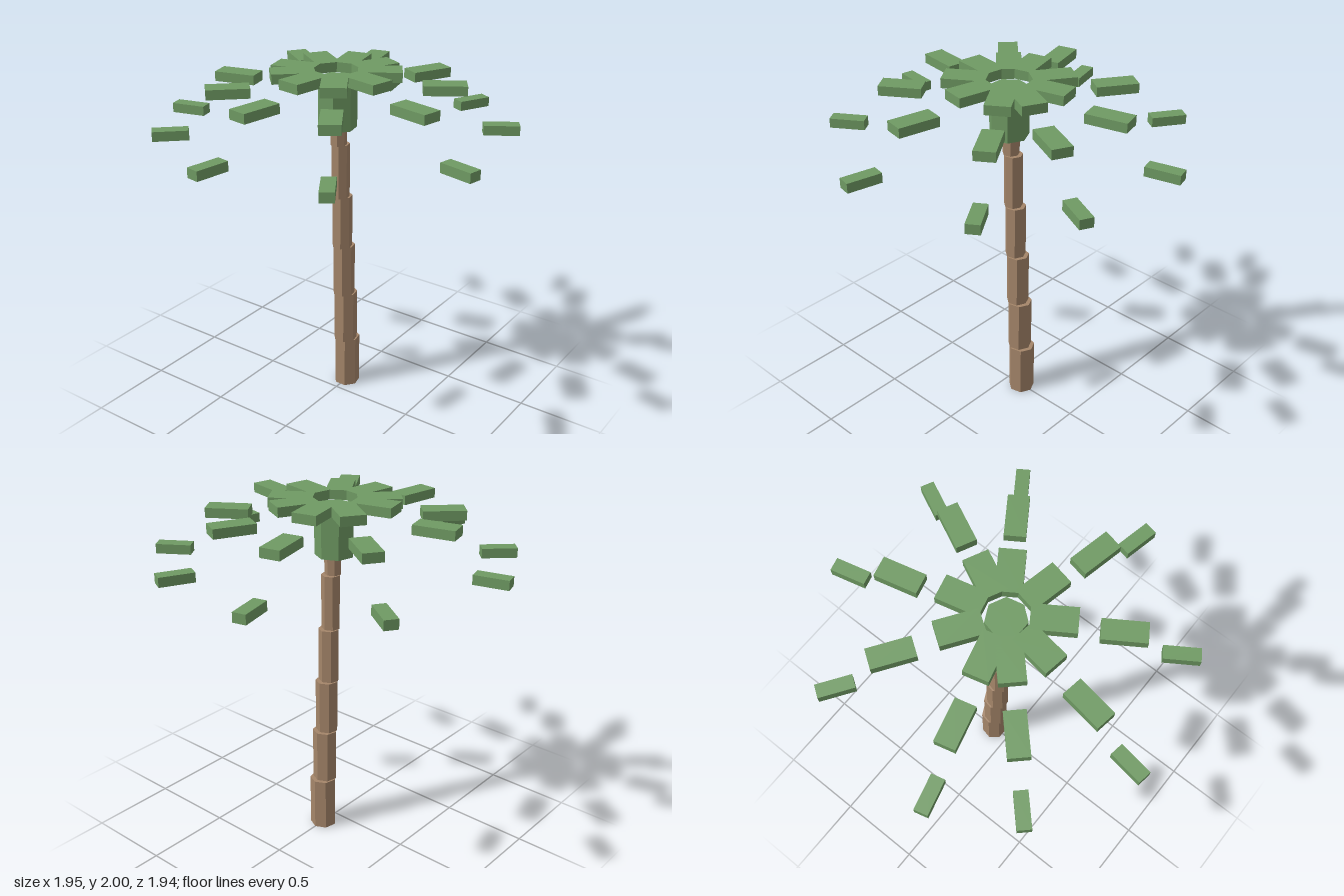
import * as THREE from 'three';

export function createModel() {
  const model = new THREE.Group();
  model.name = 'palmTree';

  const bark = new THREE.MeshStandardMaterial({ color: 0xa5866a });
  bark.name = 'bark brown';
  const leaf = new THREE.MeshStandardMaterial({ color: 0x6f9a63 });
  leaf.name = 'leaf green';

  // Upright seven-sided prism with one corner pointing to +x
  function prism(name, material, radius, x, bottom, top) {
    const geometry = new THREE.CylinderGeometry(radius, radius, top - bottom, 7)
      .rotateY(-Math.PI / 2)
      .rotateY(Math.PI)
      .toNonIndexed();
    geometry.computeVertexNormals();
    const mesh = new THREE.Mesh(geometry, material);
    mesh.name = name;
    mesh.position.set(x, (bottom + top) / 2, 0);
    return mesh;
  }

  // Leaning trunk of stepped, narrowing segments
  const trunk = new THREE.Group();
  trunk.name = 'trunk';
  const step = 0.3143;
  for (let i = 0; i < 6; i++) {
    trunk.add(prism('trunkSegment', bark, 0.076 - 0.0057 * i, 0.109 - 0.018 * i, i * step, (i + 1) * step));
  }
  model.add(trunk);

  // Green heart at the top of the trunk
  model.add(prism('crownCore', leaf, 0.1105, 0.004, 1.677, 1.95));

  // Fronds of three separate, drooping blocks: distance, height, length, width
  const blocks = [
    ['innerLeaf', 0.233, 1.973, 0.235, 0.138],
    ['middleLeaf', 0.578, 1.899, 0.235, 0.113],
    ['outerLeaf', 0.89, 1.678, 0.195, 0.075],
  ];
  // Direction of each frond in degrees, turning from +x towards +z
  const directions = [-104.3, -55.6, -13.7, 25.9, 56.7, 101.9, 146.8, 188.8, 226.3];
  for (const angle of directions) {
    const frond = new THREE.Group();
    frond.name = 'frond';
    for (const [name, distance, height, length, width] of blocks) {
      const mesh = new THREE.Mesh(new THREE.BoxGeometry(length, 0.054, width), leaf);
      mesh.name = name;
      mesh.position.set(distance, height, 0);
      frond.add(mesh);
    }
    frond.position.set(0.003, 0, -0.003);
    frond.rotation.y = -THREE.MathUtils.degToRad(angle);
    model.add(frond);
  }
  return model;
}
